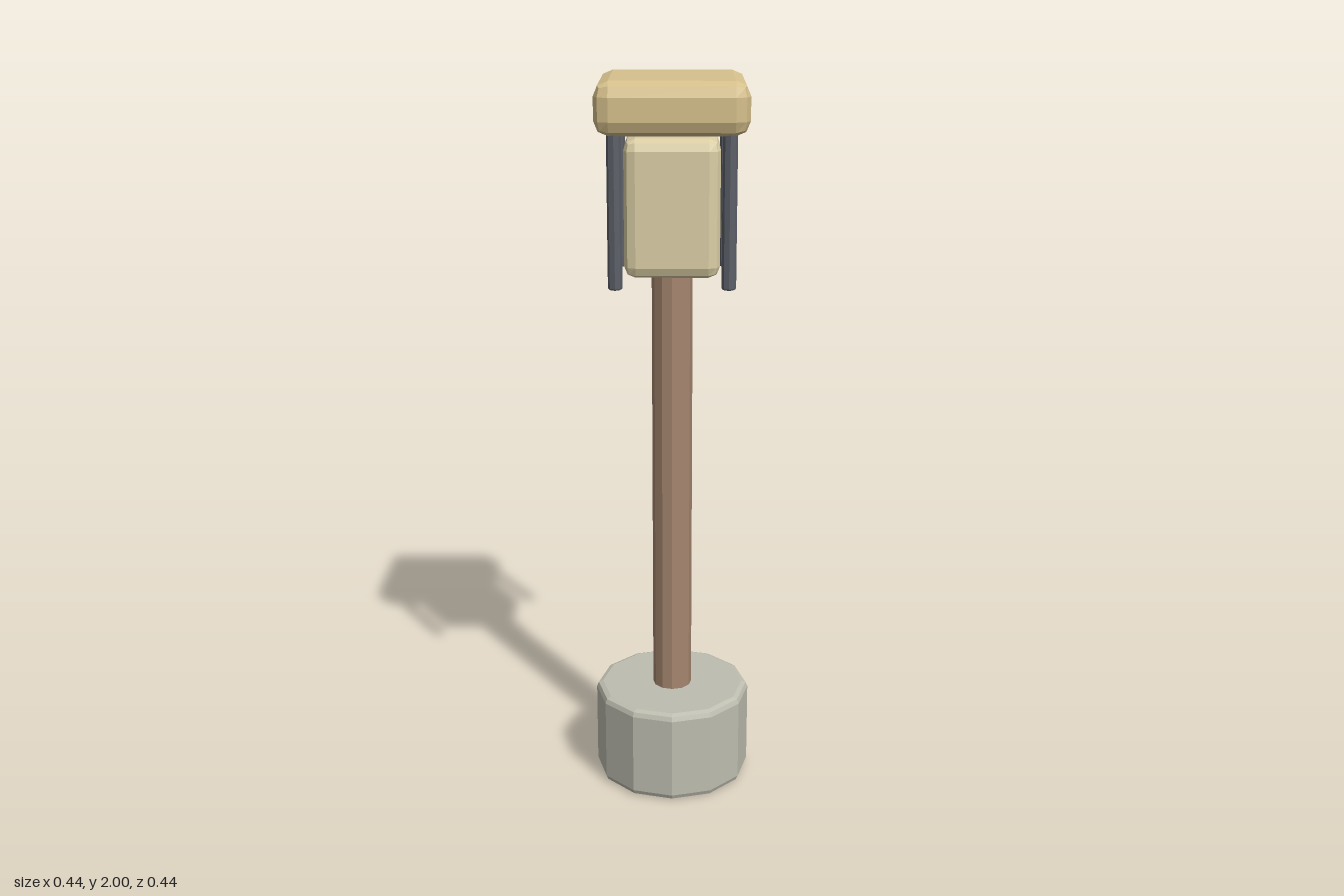
import * as THREE from 'three';
import { RoundedBoxGeometry } from 'three/addons/geometries/RoundedBoxGeometry.js';

const material = (color) => new THREE.MeshStandardMaterial({ color, flatShading: true });

export function createModel() {
  const model = new THREE.Group();
  model.name = 'lampPost';

  const stone = material(0xbdbdb0);
  const wood = material(0xa5866f);
  const iron = material(0x5c6068);
  const straw = material(0xd6c08c);
  const glow = material(0xdccfa6);

  const add = (name, geometry, mat, x, y, z) => {
    const mesh = new THREE.Mesh(geometry, mat);
    mesh.name = name;
    mesh.position.set(x, y, z);
    model.add(mesh);
  };

  // Upright faceted drum with softened rims, from y = 0 to h
  const drum = (r, h, bevel, sides) => {
    const b = bevel, m = bevel * 0.3;
    const profile = [
      [0, 0], [r - b, 0], [r - m, m], [r, b],
      [r, h - b], [r - m, h - m], [r - b, h], [0, h],
    ].map(([px, py]) => new THREE.Vector2(px, py));
    return new THREE.LatheGeometry(profile, sides);
  };

  // Stone foot and wooden post
  add('base', drum(0.22, 0.27, 0.018, 12), stone, 0, 0, 0);
  add('post', drum(0.055, 1.3, 0.006, 12), wood, 0, 0.23, 0);

  // Lantern body and overhanging cap
  add('lantern', new RoundedBoxGeometry(0.25, 0.36, 0.25, 1, 0.03), glow, 0, 1.67, 0);
  add('cap', new RoundedBoxGeometry(0.394, 0.136, 0.394, 1, 0.038), straw, 0, 1.932, 0);

  // Four corner bars hanging from the cap
  const bar = drum(0.019, 0.42, 0.005, 8);
  for (const sx of [-1, 1]) {
    for (const sz of [-1, 1]) {
      add(`${sz > 0 ? 'front' : 'back'}${sx > 0 ? 'Left' : 'Right'}Bar`, bar, iron, sx * 0.147, 1.47, sz * 0.147);
    }
  }

  return model;
}
